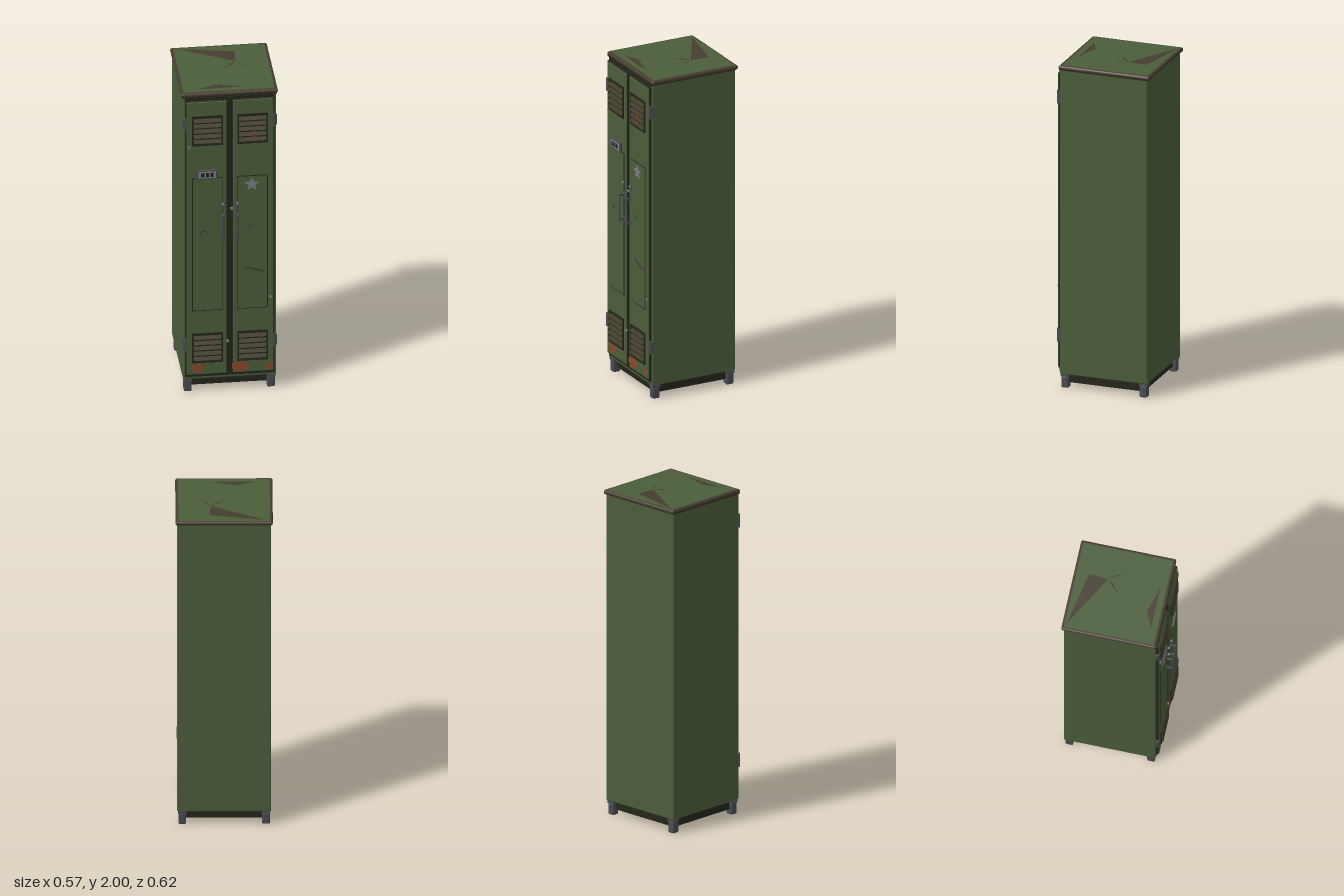
import * as THREE from 'three';
import { RoundedBoxGeometry } from 'three/addons/geometries/RoundedBoxGeometry.js';

const mat = (name, color) => {
  const m = new THREE.MeshStandardMaterial({ color });
  m.name = name;
  return m;
};

export function createModel() {
  const green = mat('olive paint', 0x4b5d3a);
  const brown = mat('worn brown edge', 0x463d30);
  const dark = mat('dark gap', 0x24251a);
  const slatBrown = mat('slat brown', 0x423c2a);
  const steel = mat('steel', 0x7b7e84);
  const gunmetal = mat('gunmetal', 0x484b52);
  const rust = mat('rust', 0x87492a);

  const locker = new THREE.Group();
  locker.name = 'locker';

  const add = (name, geo, material, x, y, z, parent = locker) => {
    const m = new THREE.Mesh(geo, material);
    m.name = name;
    m.position.set(x, y, z);
    parent.add(m);
    return m;
  };
  const box = (name, w, h, d, material, x, y, z, parent) =>
    add(name, new THREE.BoxGeometry(w, h, d), material, x, y, z, parent);
  const rbox = (name, w, h, d, r, material, x, y, z, parent) =>
    add(name, new RoundedBoxGeometry(w, h, d, 2, r), material, x, y, z, parent);
  // thin plate cut from an outline of [x, y] points
  const plate = (name, pts, depth, material, x, y, z, parent) => {
    const shape = new THREE.Shape(pts.map(p => new THREE.Vector2(...p)));
    return add(name, new THREE.ExtrudeGeometry(shape, { depth, bevelEnabled: false }), material, x, y, z, parent);
  };

  // cabinet body and lid
  rbox('body', 0.55, 1.895, 0.55, 0.008, green, 0, 1.0325, -0.02);
  box('doorRecess', 0.528, 1.865, 0.004, dark, 0, 1.035, 0.2555);
  box('lidShadowGap', 0.556, 0.008, 0.556, dark, 0, 1.974, -0.02);
  rbox('lid', 0.57, 0.026, 0.57, 0.011, brown, 0, 1.986, -0.025);
  box('lidPanel', 0.536, 0.003, 0.536, green, 0, 1.998, -0.027);
  // worn patches on the lid, as [x, z] outlines
  const wornPatches = [
    [[-0.245, -0.285], [0.085, -0.22], [0.078, -0.105]],
    [[-0.17, 0.205], [-0.075, 0.16], [0.09, 0.205]],
    [[0.078, -0.105], [0.05, -0.065], [0, -0.03], [0.04, -0.075]],
    [[0.082, -0.1], [0.105, -0.075], [0.13, -0.015]],
  ];
  wornPatches.forEach(pts => {
    const p = plate('lidWear', pts.map(([x, z]) => [x, -z]), 0.001, brown, 0, 1.9992, 0);
    p.rotation.x = -Math.PI / 2;
  });

  // plinth and feet
  box('plinth', 0.5, 0.055, 0.49, dark, 0, 0.06, -0.02);
  for (const x of [-0.245, 0.245]) for (const z of [0.225, -0.265]) {
    rbox('foot', 0.046, 0.072, 0.046, 0.008, gunmetal, x, 0.036, z);
    box('footCollar', 0.05, 0.012, 0.05, gunmetal, x, 0.076, z);
  }

  // louvred vent
  const vent = (y, x, parent) => {
    const g = new THREE.Group();
    g.name = 'vent';
    g.position.set(x, y, 0.274);
    parent.add(g);
    box('ventBack', 0.178, 0.196, 0.004, dark, 0, 0, 0, g);
    for (const s of [-1, 1]) {
      box('ventSide', 0.007, 0.196, 0.008, dark, s * 0.086, 0, 0.003, g);
      box('ventEdge', 0.178, 0.007, 0.008, dark, 0, s * 0.095, 0.003, g);
    }
    for (let i = 0; i < 5; i++) {
      const slat = box('ventSlat', 0.162, 0.024, 0.005, slatBrown, 0, (i - 2) * 0.035, 0.006, g);
      slat.rotation.x = -0.5;
    }
  };

  // doors, mirrored about the centre line
  for (const s of [-1, 1]) {
    const door = new THREE.Group();
    door.name = s < 0 ? 'rightDoor' : 'leftDoor';
    locker.add(door);
    rbox('doorEdge', 0.247, 1.834, 0.012, 0.004, dark, s * 0.1375, 1.035, 0.262, door);
    rbox('doorSkin', 0.237, 1.824, 0.014, 0.004, green, s * 0.1375, 1.035, 0.2655, door);
    vent(1.757, s * 0.133, door);
    vent(0.303, s * 0.133, door);
    box('panelOutline', 0.18, 0.89, 0.003, dark, s * 0.133, 0.995, 0.273, door);
    box('panel', 0.17, 0.88, 0.005, green, s * 0.133, 0.995, 0.2735, door);

    // pull handle
    const hx = s * 0.043;
    rbox('handleBar', 0.013, 0.18, 0.011, 0.004, gunmetal, hx, 1.11, 0.304, door);
    for (const y of [1.035, 1.185]) {
      box('handlePost', 0.011, 0.012, 0.034, gunmetal, hx, y, 0.285, door);
      box('handleMount', 0.019, 0.025, 0.006, gunmetal, hx, y, 0.274, door);
    }
    // latch above the handle
    box('latchPlate', 0.02, 0.035, 0.008, gunmetal, hx, 1.256, 0.275, door);
    const knob = add('latchKnob', new THREE.CylinderGeometry(0.008, 0.008, 0.01, 8), steel, hx, 1.263, 0.282, door);
    knob.rotation.x = Math.PI / 2;

    // hinges
    for (const y of [1.8, 0.325]) {
      add('hingePin', new THREE.CylinderGeometry(0.009, 0.009, 0.082, 8), gunmetal, s * 0.263, y, 0.266, door);
      box('hingeLeaf', 0.012, 0.07, 0.016, gunmetal, s * 0.271, y, 0.256, door);
    }
    // small round dent ring
    add('dentRing', new THREE.TorusGeometry(0.02, 0.0012, 4, 14, 4.2), dark,
      s < 0 ? -0.155 : 0.125, s < 0 ? 1.065 : 1.09, 0.2758, door);
  }

  // loose bolts
  for (const [x, y] of [[-0.24, 1.65], [0.238, 0.62], [0.01, 1.225], [-0.015, 0.34]]) {
    const b = add('bolt', new THREE.CylinderGeometry(0.009, 0.009, 0.01, 6), steel, x, y, 0.274);
    b.rotation.x = Math.PI / 2;
  }

  // name plate with three dark blocks
  rbox('namePlateFrame', 0.126, 0.064, 0.014, 0.004, gunmetal, -0.135, 1.465, 0.278);
  box('namePlateCard', 0.102, 0.044, 0.004, steel, -0.135, 1.465, 0.2845);
  for (let i = -1; i <= 1; i++)
    box('namePlateBlock', 0.018, 0.028, 0.004, dark, -0.135 + i * 0.027, 1.465, 0.286);

  // star badge
  const star = Array.from({ length: 10 }, (_, i) => {
    const r = i % 2 ? 0.02 : 0.046, a = Math.PI / 2 + i * Math.PI / 5;
    return [r * Math.cos(a), r * Math.sin(a)];
  });
  plate('starBadge', star, 0.005, steel, 0.13, 1.383, 0.2755);

  // scratch and rust patches
  plate('scratch', [[-0.06, 0.015], [-0.035, 0.02], [0.06, -0.015], [0.055, -0.025], [-0.04, 0.005]],
    0.001, brown, 0.145, 0.812, 0.2758);
  const rustSpots = [
    [-0.19, 0.165, [[-0.048, 0.01], [-0.02, 0.028], [0.03, 0.028], [0.042, 0.008], [0.015, -0.035], [-0.02, -0.02]]],
    [0.058, 0.163, [[-0.045, 0.02], [-0.01, 0.037], [0.038, 0.026], [0.062, 0], [0.03, -0.032], [-0.02, -0.034], [-0.045, -0.01]]],
    [0.225, 0.155, [[-0.028, 0.02], [0.026, 0.018], [0.024, -0.025], [0.004, -0.026], [-0.012, -0.004]]],
  ];
  rustSpots.forEach(([x, y, pts]) => plate('rustPatch', pts, 0.001, rust, x, y, 0.2722));
  for (const [x, y] of [[0.14, 1.695], [0.143, 1.73]])
    box('ventRust', 0.016, 0.016, 0.004, rust, x, y, 0.285);

  return locker;
}
